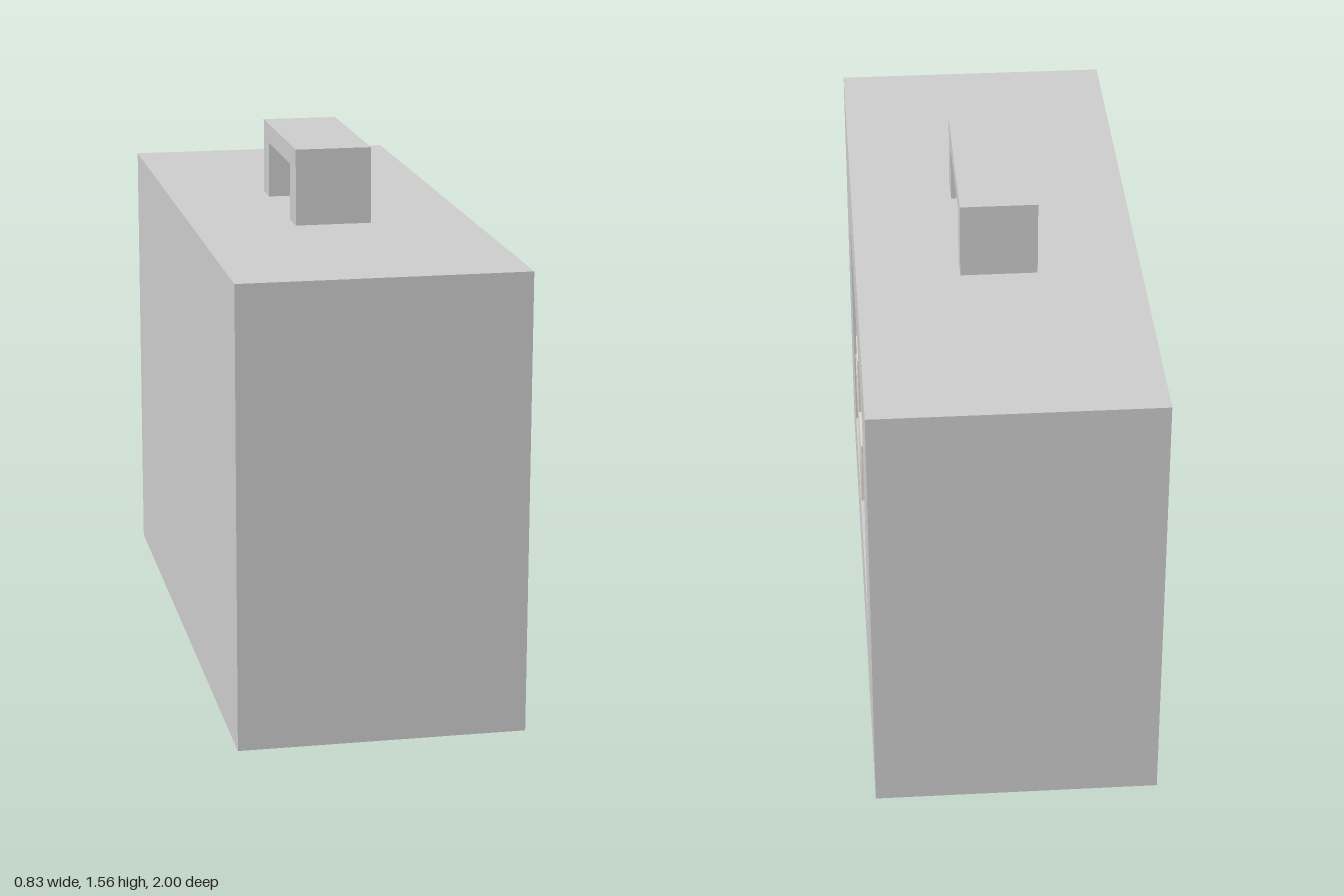
import * as THREE from 'three';

const HALF_X = 0.413, HEIGHT = 1.333, MID_Y = 0.667;
const FLOOR_X = 0.34;   // floor of the recess in the +x face
const DISC_X = 0.37;    // face of the disc
const REC_W = 0.56, REC_H = 0.372;

const material = (color) => new THREE.MeshStandardMaterial({ color, flatShading: true });

// Extrudes an outline drawn in the side plane from x0 to x1
function slab(name, shape, x0, x1, y, mat) {
  const geo = new THREE.ExtrudeGeometry(shape, { depth: x1 - x0, bevelEnabled: false, curveSegments: 20 });
  geo.rotateY(Math.PI / 2);
  const mesh = new THREE.Mesh(geo, mat);
  mesh.name = name;
  mesh.position.set(x0, y, 0);
  return mesh;
}

const polygon = (pts) => new THREE.Shape(pts.map(([x, y]) => new THREE.Vector2(x, y)));
const rect = (w, h) => polygon([[-w, -h], [w, -h], [w, h], [-w, h]]);

export function createModel() {
  const group = new THREE.Group();
  group.name = 'firstAidCase';
  const grey = material(0xcccccc);
  const red = material(0xff1010);
  const cream = material(0xded8cb);

  // Case body, with a framed recess on the +x side
  const body = new THREE.Mesh(new THREE.BoxGeometry(FLOOR_X + HALF_X, HEIGHT, 2), grey);
  body.name = 'caseBody';
  body.position.set((FLOOR_X - HALF_X) / 2, HEIGHT / 2, 0);
  group.add(body);

  const frame = rect(1, HEIGHT / 2);
  frame.holes.push(rect(REC_W, REC_H));
  group.add(slab('recessFrame', frame, FLOOR_X, HALF_X, HEIGHT / 2, grey));

  // Disc, cut flat where it meets the top and bottom of the recess
  const r = 0.41, a = Math.asin(REC_H / r);
  const disc = new THREE.Shape();
  disc.absarc(0, 0, r, -a, a);
  disc.absarc(0, 0, r, Math.PI - a, Math.PI + a);
  group.add(slab('emblemDisc', disc, FLOOR_X, DISC_X, MID_Y, red));

  // Raised cross, flush with the case side
  const c = 0.073, l = 0.258;
  const cross = polygon([
    [-c, -l], [c, -l], [c, -c], [l, -c], [l, c], [c, c],
    [c, l], [-c, l], [-c, c], [-l, c], [-l, -c], [-c, -c],
  ]);
  group.add(slab('cross', cross, DISC_X, HALF_X, MID_Y, cream));

  // Carrying handle
  const handle = polygon([
    [-0.272, 0], [-0.18, 0], [-0.18, 0.167], [0.18, 0.167],
    [0.18, 0], [0.272, 0], [0.272, 0.225], [-0.272, 0.225],
  ]);
  group.add(slab('handle', handle, -0.112, 0.112, HEIGHT, grey));

  return group;
}
